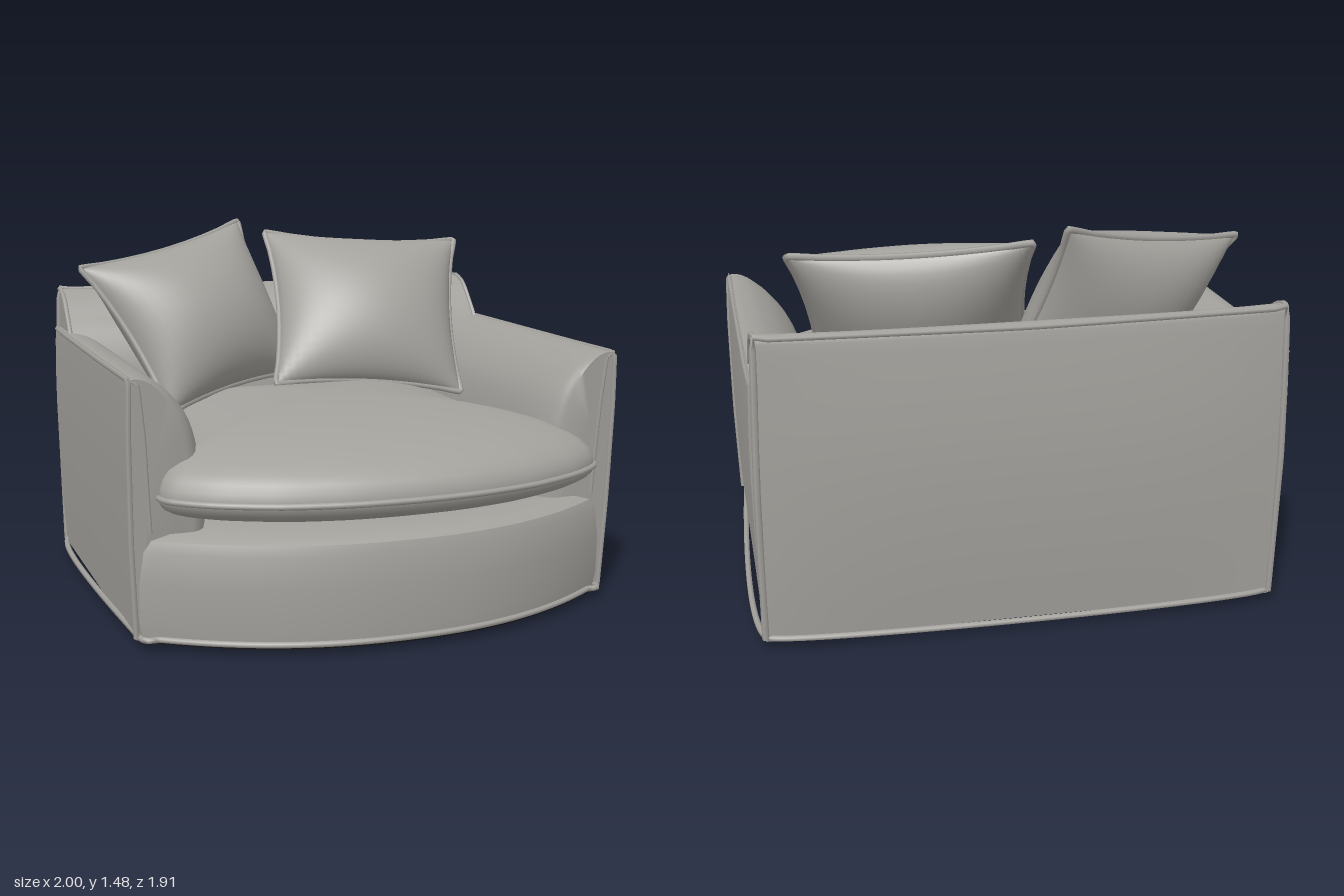
import * as THREE from 'three';
import { toCreasedNormals } from 'three/addons/utils/BufferGeometryUtils.js';
import { ParametricGeometry } from 'three/addons/geometries/ParametricGeometry.js';

const V = (x, y, z) => new THREE.Vector3(x, y, z);
const fabric = new THREE.MeshStandardMaterial({ color: 0xa3a19c, side: THREE.DoubleSide });
fabric.name = 'grey fabric';
const black = new THREE.MeshStandardMaterial({ color: 0x111111 });
black.name = 'black lining';

function add(parent, name, geometry, material = fabric) {
  const mesh = new THREE.Mesh(geometry, material);
  mesh.name = name;
  parent.add(mesh);
  return mesh;
}

// Skin closed cross-sections, cap both ends, and turn the faces outward
function loft(sections, crease = 0.7) {
  const n = sections[0].length, pts = sections.flat(), idx = [];
  for (let i = 0; i < sections.length - 1; i++) {
    for (let j = 0; j < n; j++) {
      const a = i * n + j, b = i * n + (j + 1) % n;
      idx.push(a, b, a + n, b, b + n, a + n);
    }
  }
  [0, sections.length - 1].forEach((r, end) => {
    const c = pts.length;
    pts.push(sections[r].reduce((s, p) => s.add(p), V(0, 0, 0)).divideScalar(n));
    for (let j = 0; j < n; j++) {
      const a = r * n + j, b = r * n + (j + 1) % n;
      if (end) idx.push(a, b, c); else idx.push(b, a, c);
    }
  });
  let volume = 0;
  for (let i = 0; i < idx.length; i += 3) {
    volume += pts[idx[i]].dot(pts[idx[i + 1]].clone().cross(pts[idx[i + 2]]));
  }
  if (volume < 0) idx.reverse();
  const g = new THREE.BufferGeometry().setFromPoints(pts);
  g.setIndex(idx);
  return toCreasedNormals(g, crease);
}

function piping(parent, name, points, closed = false, radius = 0.011) {
  const curve = new THREE.CatmullRomCurve3(points, closed, 'catmullrom', 0.15);
  return add(parent, name, new THREE.TubeGeometry(curve, points.length * 8, radius, 6, closed));
}

const profile = (pairs, n) =>
  new THREE.SplineCurve(pairs.map(p => new THREE.Vector2(...p))).getPoints(n);

// Base outline: straight sides and back, bowed front
function footprint(inset = 0) {
  const w = 0.955 - inset, pts = [[-w, -0.9 + inset], [w, -0.9 + inset]];
  for (let i = 0; i <= 32; i++) {
    const t = 1 - i / 16;
    pts.push([w * t, 0.88 - inset - 0.33 * Math.abs(t) ** 2.2]);
  }
  return pts;
}

function makeBase(group) {
  const levels = [[0.03, 0.012], [0.1, 0.004], [0.25, 0], [0.37, 0.004], [0.41, 0.015], [0.43, 0.045]];
  add(group, 'base', loft(levels.map(([y, d]) => footprint(d).map(([x, z]) => V(x, y, z)))));
  piping(group, 'baseHem', footprint(0.006).map(([x, z]) => V(x, 0.042, z)), true, 0.012);
  add(group, 'underside',
    loft([0.024, 0.031].map(y => footprint(0.01).map(([x, z]) => V(x, y, z)))), black);
  for (const x of [-0.8, 0.8]) for (const z of [0.4, -0.75]) {
    const foot = add(group, 'foot', new THREE.CylinderGeometry(0.03, 0.03, 0.03, 16), black);
    foot.position.set(x, 0.015, z);
  }
}

function makeArm(group, side) {
  const section = profile([[0.96, 0.03], [0.975, 0.3], [0.985, 0.7], [0.98, 0.99], [0.97, 1.01],
    [0.93, 1.01], [0.87, 0.99], [0.79, 0.93], [0.72, 0.83], [0.68, 0.68], [0.66, 0.5], [0.66, 0.35]], 40);
  // [z, width factor]: the inner front edge is rounded
  const stations = [[0.592, 0.7], [0.58, 0.79], [0.55, 0.87], [0.48, 0.95], [0.38, 0.99], [0.25, 1],
    [-0.15, 1], [-0.6, 1], [-0.9, 1]];
  add(group, side > 0 ? 'leftArm' : 'rightArm', loft(stations.map(([z, k]) => section.map(p => {
    const x = p.x < 0.95 ? 0.95 + (p.x - 0.95) * k : p.x;
    const lean = z > 0.3 ? 0.05 * (1 - p.y) : 0;
    return V(side * x, p.y, z - lean);
  })), 0.8));
  // Seams round the outer panel and down the narrow front panel
  piping(group, 'armPiping', [V(0.962, 0.04, 0.545), V(0.977, 0.4, 0.562), V(0.982, 0.8, 0.582),
    V(0.978, 1.0, 0.59), V(0.975, 1.008, 0.56), V(0.976, 1.005, 0.1), V(0.976, 1.005, -0.64),
    V(0.972, 1.005, -0.9)].map(p => p.setX(p.x * side)));
  piping(group, 'armFrontPiping', [V(0.975, 1.005, 0.585), V(0.945, 0.99, 0.588), V(0.925, 0.8, 0.58),
    V(0.905, 0.44, 0.563)].map(p => p.setX(p.x * side)), false, 0.008);
}

function makeBack(group) {
  const section = profile([[-0.9, 0.03], [-0.91, 0.3], [-0.918, 0.7], [-0.915, 1.0], [-0.91, 1.165],
    [-0.895, 1.18], [-0.86, 1.18], [-0.79, 1.15], [-0.72, 1.08], [-0.65, 0.99], [-0.6, 0.85],
    [-0.58, 0.6], [-0.57, 0.35]], 40);
  const sections = [];
  for (let i = 0; i <= 16; i++) {
    const t = i / 8 - 1, bow = 1 - t ** 4;
    sections.push(section.map(p => V(0.958 * t, p.y - (p.y > 1.05 ? 0.012 * bow : 0),
      p.z ?? p.x - (p.x < -0.89 ? 0.026 * bow * Math.sin(Math.PI * Math.min(1, p.y / 1.25)) : 0))));
  }
  add(group, 'backrest', loft(sections));
  piping(group, 'backPiping', [V(-0.96, 0.04, -0.9), V(-0.967, 0.6, -0.918), V(-0.96, 1.0, -0.915),
    V(-0.955, 1.18, -0.908), V(-0.9, 1.175, -0.913), V(0, 1.166, -0.922), V(0.9, 1.175, -0.913),
    V(0.955, 1.18, -0.908), V(0.96, 1.0, -0.915), V(0.967, 0.6, -0.918), V(0.96, 0.04, -0.9)], false, 0.013);
  for (const side of [-1, 1]) {
    piping(group, 'backEndPiping', section.slice(16, 33).map(p => V(side * 0.957, p.y, p.x)), false, 0.01);
  }
}

// Domed T-shaped seat cushion: the outline shrinks ring by ring
function makeSeat(group) {
  const half = [[0, 0.945], [0.25, 0.93], [0.5, 0.875], [0.72, 0.775], [0.85, 0.675], [0.88, 0.61],
    [0.86, 0.575], [0.72, 0.45], [0.71, 0.1], [0.71, -0.3], [0.69, -0.62], [0.35, -0.65], [0, -0.65]];
  const outline = [...half, ...half.slice(1, -1).reverse().map(([x, z]) => [-x, z])];
  const curve = new THREE.CatmullRomCurve3(outline.map(([x, z]) => V(x, 0, z)), true, 'catmullrom', 0.4);
  const rim = curve.getPoints(120).slice(0, -1);
  const rings = [];
  const steps = 14;
  for (let i = -steps + 1; i < steps; i++) {
    const s = Math.cos((i / steps) * Math.PI / 2);
    const lift = Math.pow(1 - s * s, 0.42);
    const y = 0.577 + (i > 0 ? 0.248 : -0.16) * lift;
    rings.push(rim.map(p => V(p.x * s, y, p.z * s)));
  }
  add(group, 'seatCushion', loft(rings, 1.2));
  piping(group, 'seatPiping', rim.filter((p, i) => i % 2 === 0).map(p => V(p.x, 0.577, p.z)), true, 0.012);
}

// Scatter cushion stretched between four corners, with edges drawn in
function makePillow(group, name, [bl, br, tr, tl], depth) {
  const normal = br.clone().sub(bl).add(tr).sub(tl).cross(tl.clone().sub(bl).add(tr).sub(br)).normalize();
  const at = (u, v, height, out) => {
    const a = (u * (1 - 0.09 * (1 - v * v)) + 1) / 2, b = (v * (1 - 0.09 * (1 - u * u)) + 1) / 2;
    out.copy(bl).multiplyScalar((1 - a) * (1 - b)).addScaledVector(br, a * (1 - b))
      .addScaledVector(tr, a * b).addScaledVector(tl, (1 - a) * b);
    const puff = Math.pow(Math.max(0, (1 - u * u) * (1 - v * v)), 0.55);
    return out.addScaledVector(normal, height * puff);
  };
  const pillow = new THREE.Group();
  pillow.name = name;
  for (const face of [1, -1]) {
    const g = new ParametricGeometry((u, v, out) =>
      at(face * Math.sin((u - 0.5) * Math.PI), Math.sin((v - 0.5) * Math.PI), face * depth, out), 24, 24);
    g.computeVertexNormals();
    add(pillow, face > 0 ? 'pillowFront' : 'pillowBack', g);
  }
  const edge = [];
  for (const [u, v, du, dv] of [[-1, -1, 1, 0], [1, -1, 0, 1], [1, 1, -1, 0], [-1, 1, 0, -1]]) {
    for (let i = 0; i < 8; i++) edge.push(at(u + du * i / 4, v + dv * i / 4, 0, V(0, 0, 0)));
  }
  piping(pillow, 'pillowPiping', edge, true, 0.013);
  group.add(pillow);
}

export function createModel() {
  const group = new THREE.Group();
  group.name = 'armchair';
  makeBase(group);
  makeArm(group, 1);
  makeArm(group, -1);
  makeBack(group);
  makeSeat(group);
  makePillow(group, 'leftPillow',
    [V(-0.17, 0.82, -0.22), V(0.67, 0.74, -0.18), V(0.81, 1.375, -0.59), V(-0.05, 1.42, -0.75)], 0.19);
  makePillow(group, 'rightPillow',
    [V(-0.65, 0.74, -0.14), V(0.02, 0.82, -0.5), V(-0.17, 1.47, -0.78), V(-0.96, 1.32, -0.37)], 0.22);
  return group;
}
